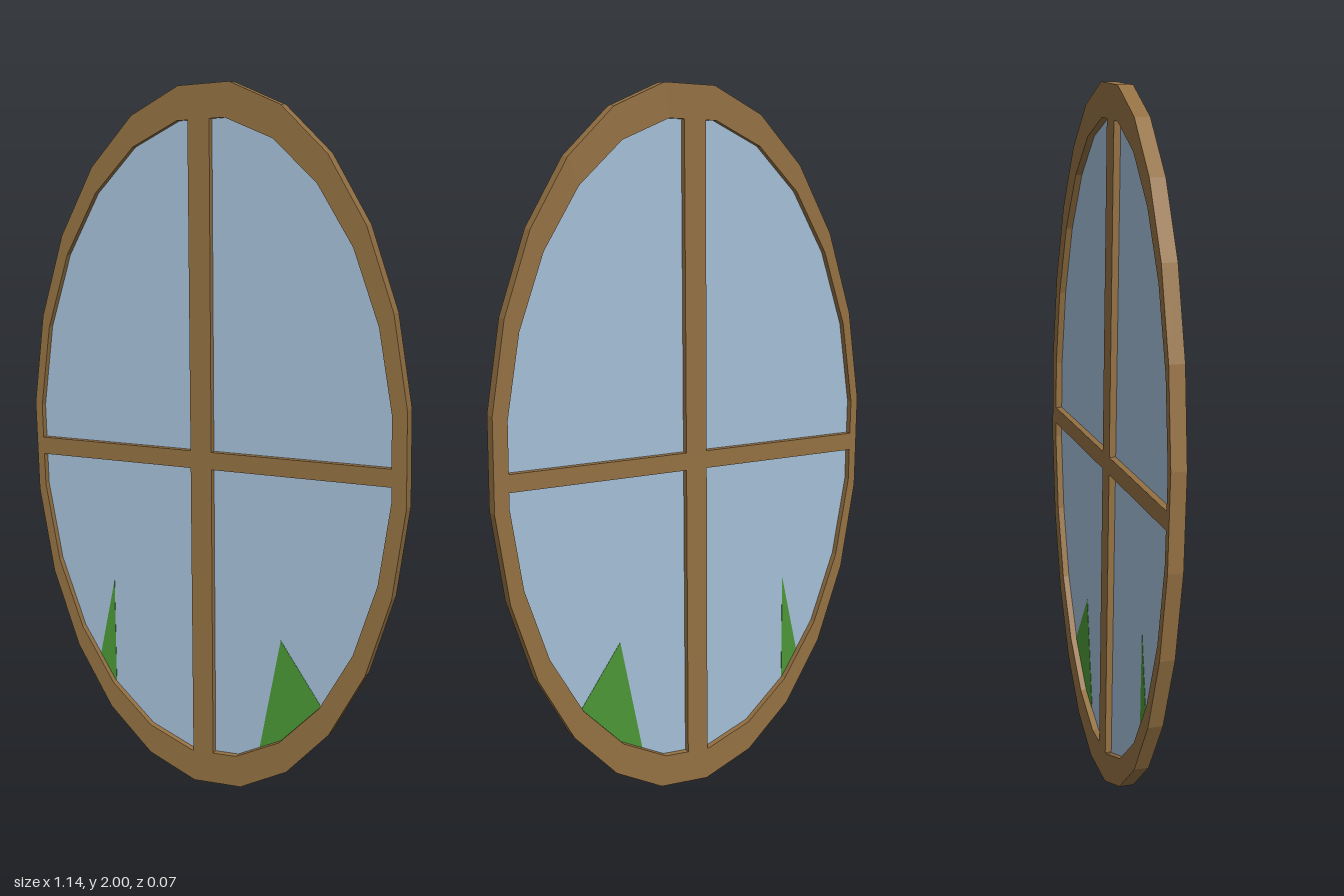
import * as THREE from 'three';

const SIDES = 24, PHASE = THREE.MathUtils.degToRad(6);

// Oval as a 24-sided polygon, running counter-clockwise from the top
function oval(cx, cy, rx, ry) {
  return Array.from({ length: SIDES }, (_, i) => {
    const t = PHASE - (i / SIDES) * Math.PI * 2;
    return new THREE.Vector2(cx + rx * Math.sin(t), cy + ry * Math.cos(t));
  });
}

// Keep the side of a polygon where sign * (p[axis] - limit) >= 0
function clip(points, axis, limit, sign) {
  const out = [];
  points.forEach((a, i) => {
    const b = points[(i + 1) % points.length];
    const da = sign * (a[axis] - limit), db = sign * (b[axis] - limit);
    if (da >= 0) out.push(a);
    if (da * db < 0) out.push(a.clone().lerp(b, da / (da - db)));
  });
  return out;
}

// Flat plate centred on z = 0
function plate(name, shape, depth, material) {
  const geometry = new THREE.ExtrudeGeometry(shape, { depth, bevelEnabled: false });
  geometry.translate(0, 0, -depth / 2);
  const mesh = new THREE.Mesh(geometry, material);
  mesh.name = name;
  return mesh;
}

export function createModel() {
  const wood = new THREE.MeshStandardMaterial({ name: 'wood', color: 0x937042 });
  const glass = new THREE.MeshStandardMaterial({ name: 'glass', color: 0xa3bed6 });
  const leaf = new THREE.MeshStandardMaterial({ name: 'leaf green', color: 0x4a9636 });

  const model = new THREE.Group();
  model.name = 'ovalWindow';
  const panel = new THREE.Group();
  panel.name = 'tiltedPanel';
  panel.position.y = 1;
  panel.rotation.x = 0.014;
  model.add(panel);

  // Frame and crossbars in one piece, with four pane openings
  const frame = new THREE.Shape(oval(0, 0, 0.572, 1.005));
  const opening = oval(-0.01, 0.001, 0.54, 0.912);
  for (const [x, sx] of [[-0.062, -1], [0.002, 1]]) {
    for (const [y, sy] of [[-0.05, -1], [0, 1]]) {
      frame.holes.push(new THREE.Path(clip(clip(opening, 'x', x, sx), 'y', y, sy)));
    }
  }
  panel.add(plate('frame', frame, 0.042, wood));

  // Glass set midway into the frame
  panel.add(plate('glassPane', new THREE.Shape(oval(-0.005, 0, 0.554, 0.95)), 0.005, glass));

  // Grass blades showing on both faces of the glass, their feet hidden in the frame
  const blades = {
    rightBlade: [[-0.326, -0.42], [-0.383, -0.68], [-0.326, -0.76]],
    leftBlade: [[0.207, -0.53], [0.14, -0.88], [0.23, -0.83], [0.342, -0.725]],
  };
  for (const [name, corners] of Object.entries(blades)) {
    const shape = new THREE.Shape(corners.map(([x, y]) => new THREE.Vector2(x, y)));
    panel.add(plate(name, shape, 0.007, leaf));
  }
  return model;
}
